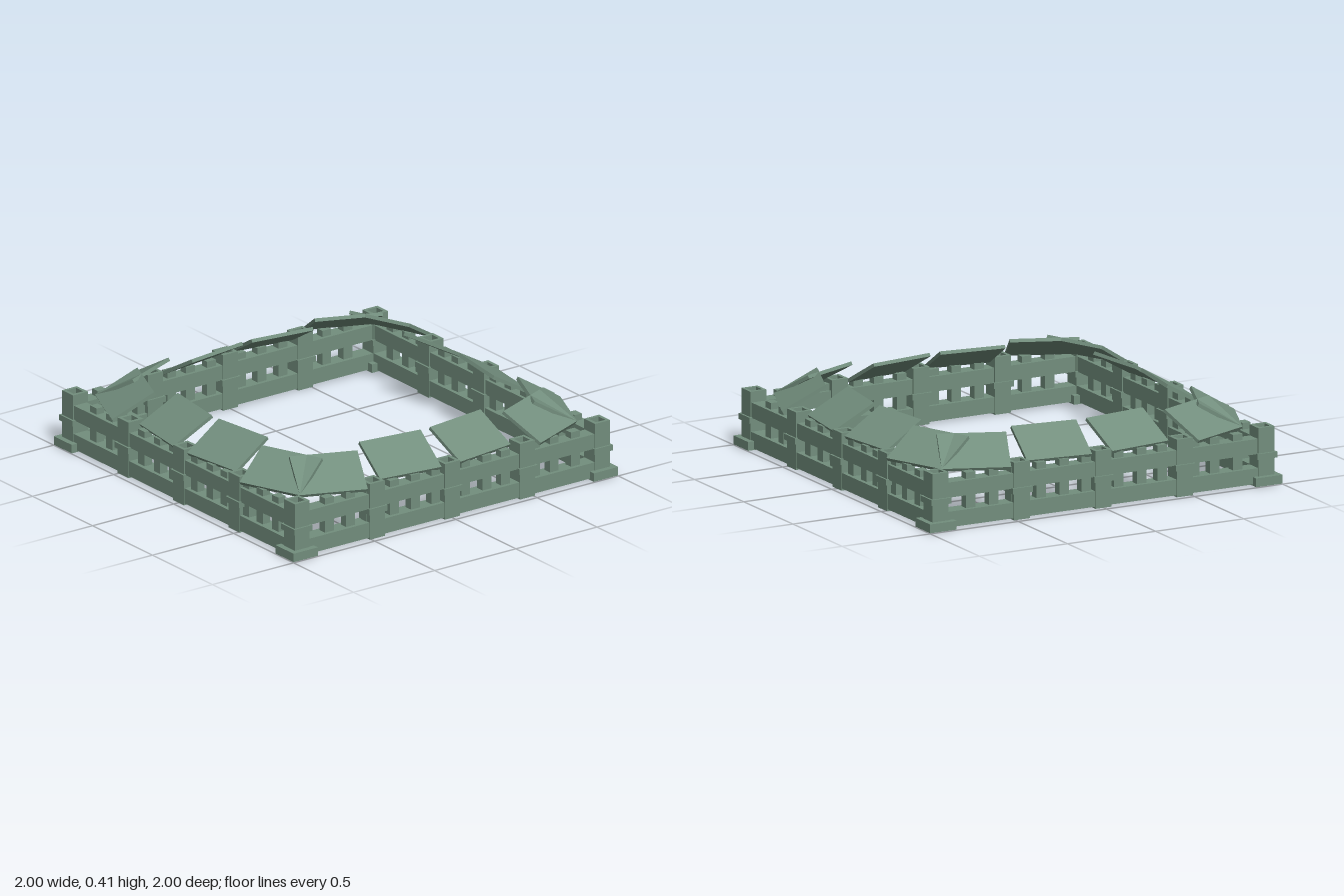
import * as THREE from 'three';

const R = 0.925; // distance of each wall's centre line from the middle
const BAY = R / 2; // spacing of the posts

export function createModel() {
  const model = new THREE.Group();
  model.name = 'fencedEnclosure';
  const green = new THREE.MeshStandardMaterial({ color: 0x738f7e });
  green.name = 'sageGreen';

  const add = (parent, name, geometry, x, y, z) => {
    const mesh = new THREE.Mesh(geometry, green);
    mesh.name = name;
    mesh.position.set(x, y, z);
    parent.add(mesh);
    return mesh;
  };
  const box = (w, h, d) => new THREE.BoxGeometry(w, h, d);

  // Square hollow post, standing upright
  const square = (Type, s) => new Type([
    new THREE.Vector2(-s, -s), new THREE.Vector2(s, -s),
    new THREE.Vector2(s, s), new THREE.Vector2(-s, s),
  ]);
  const outline = square(THREE.Shape, 0.046);
  outline.holes.push(square(THREE.Path, 0.029));
  const postGeo = new THREE.ExtrudeGeometry(outline, { depth: 0.295, bevelEnabled: false });
  postGeo.rotateX(-Math.PI / 2);

  const collarGeo = box(0.112, 0.03, 0.112);
  const footGeo = box(0.15, 0.045, 0.15);
  const baseRailGeo = box(2 * R, 0.08, 0.084);
  const midRailGeo = box(2 * R, 0.078, 0.078);
  const picketGeo = box(0.054, 0.23, 0.045);
  const panelGeo = box(0.347, 0.018, 0.25);

  const pickets = [-0.775, -0.645, -0.53, -0.345, -0.23, -0.1, 0.085, 0.21, 0.34, 0.485, 0.61, 0.74];
  // Sloping panels: offset along the wall, distance out, yaw in degrees
  const panels = [[0.215, 0.825, 7.5], [0.65, 0.817, 22.5]];

  // One back wall, repeated at quarter turns
  for (let k = 0; k < 4; k++) {
    const wall = new THREE.Group();
    wall.name = 'wall' + (k + 1);
    wall.rotation.y = k * Math.PI / 2;
    model.add(wall);

    add(wall, 'baseRail', baseRailGeo, 0, 0.05, -R);
    add(wall, 'middleRail', midRailGeo, 0, 0.2, -R);
    for (const x of pickets) add(wall, 'picket', picketGeo, x, 0.157, -R);

    // The first post is the corner post, shared with the next wall
    for (let i = 0; i < 4; i++) {
      const x = -R + i * BAY;
      add(wall, i ? 'post' : 'cornerPost', postGeo, x, 0, -R);
      add(wall, 'postCollar', collarGeo, x, 0.15, -R);
    }
    add(wall, 'cornerFoot', footGeo, -R, 0.0255, -R);

    // Panels lean inward, low edge outside
    for (const [x, z, yaw] of panels) {
      for (const side of [-1, 1]) {
        const panel = add(wall, 'roofPanel', panelGeo, side * x, 0.335, -z);
        panel.rotation.set(-Math.PI / 6, -side * THREE.MathUtils.degToRad(yaw), 0, 'YXZ');
      }
    }
  }
  return model;
}
